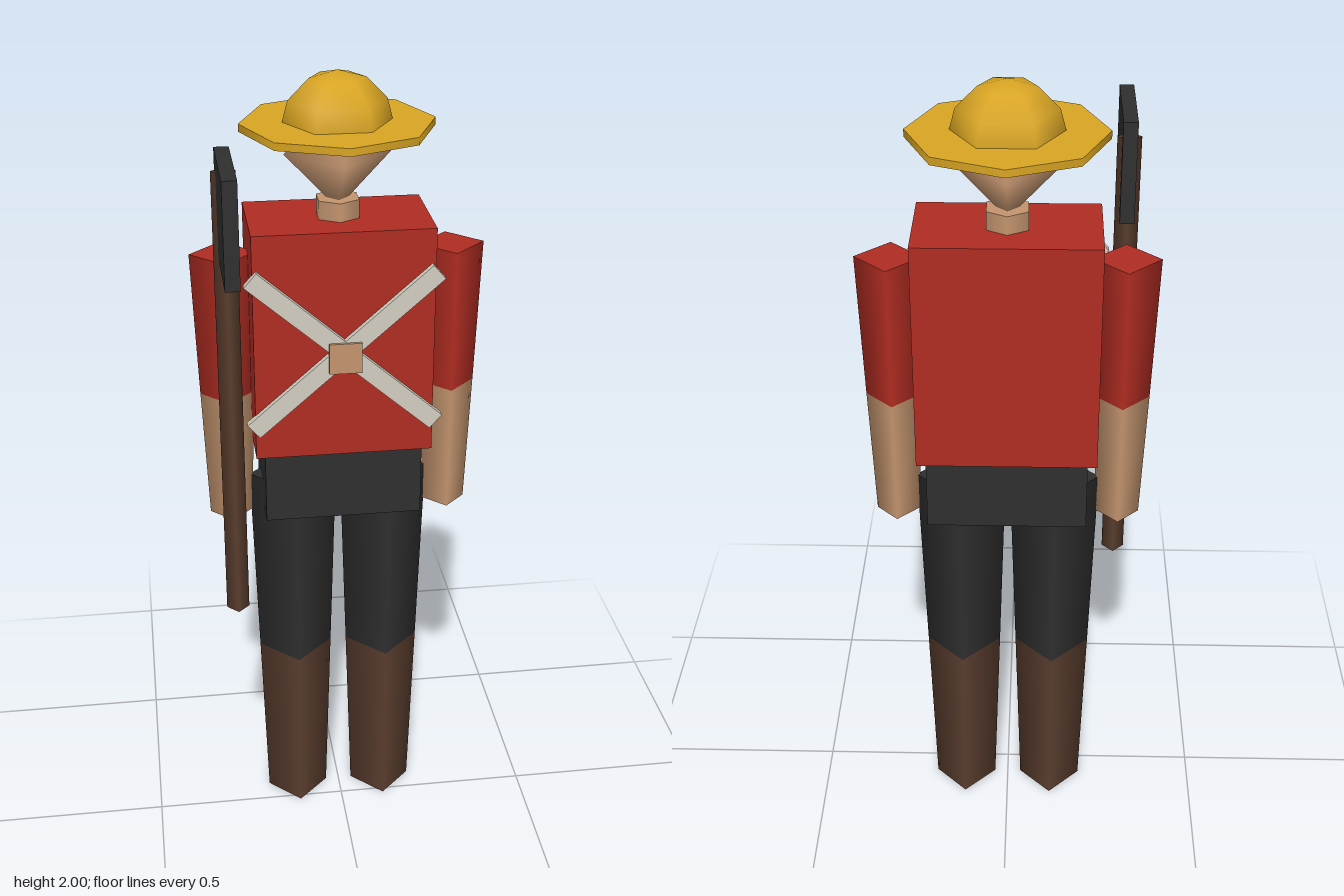
import * as THREE from 'three';

const BODY_Z = -0.063;

function material(name, color) {
  const m = new THREE.MeshStandardMaterial({ color });
  m.name = name;
  return m;
}

export function createModel() {
  const model = new THREE.Group();
  model.name = 'axeman';

  const red = material('red cloth', 0xb02c22);
  const black = material('black cloth', 0x2f2f2f);
  const brown = material('brown leather', 0x5a3d2e);
  const skin = material('skin', 0xc4956f);
  const gold = material('straw gold', 0xd9a522);
  const white = material('strap white', 0xd2cdc0);

  function add(name, geometry, mat, x, y, z) {
    const mesh = new THREE.Mesh(geometry, mat);
    mesh.name = name;
    mesh.position.set(x, y, z);
    model.add(mesh);
    return mesh;
  }

  // Tapered post between two heights
  function post(name, mat, x, z, y0, y1, r0, r1, sides = 4) {
    return add(name, new THREE.CylinderGeometry(r1, r0, y1 - y0, sides), mat, x, (y0 + y1) / 2, z);
  }

  function box(name, mat, w, h, d, x, y, z) {
    return add(name, new THREE.BoxGeometry(w, h, d), mat, x, y, z);
  }

  // Torso and hips
  box('torso', red, 0.43, 0.565, 0.25, 0, 1.378, BODY_Z - 0.001);
  box('hips', black, 0.386, 0.18, 0.224, 0, 1.005, BODY_Z);

  // Limbs, four-sided with a corner facing forward
  for (const [side, s] of [['left', 1], ['right', -1]]) {
    post(side + 'Boot', brown, s * 0.115, BODY_Z, 0, 0.475, 0.08, 0.0945);
    post(side + 'TrouserLeg', black, s * 0.115, BODY_Z, 0.475, 0.99, 0.0945, 0.11);
    post(side + 'Forearm', skin, s * 0.273, BODY_Z, 0.89, 1.22, 0.053, 0.066);
    post(side + 'Sleeve', red, s * 0.273, BODY_Z, 1.22, 1.58, 0.066, 0.079);
  }

  // Crossed straps and buckle
  for (const s of [1, -1]) {
    const strap = box('chestStrap', white, 0.585, 0.045, 0.02, 0, 1.368, 0.067);
    strap.rotation.z = s * 0.716;
  }
  box('strapBuckle', skin, 0.078, 0.076, 0.02, 0, 1.357, 0.074);

  // Neck and head
  post('neck', skin, 0, BODY_Z, 1.64, 1.705, 0.055, 0.055, 6);
  const head = add('head', new THREE.SphereGeometry(0.125, 4, 2), skin, 0, 1.81, BODY_Z);
  head.scale.y = 1.06;

  // Hat
  post('hatBrim', gold, 0, BODY_Z, 1.867, 1.885, 0.227, 0.227, 8);
  add('hatCrown', new THREE.SphereGeometry(0.132, 6, 3, 0, Math.PI * 2, 0, Math.PI / 2), gold, 0, 1.868, BODY_Z);

  // Axe
  post('axeHandle', brown, -0.273, 0.073, 0.685, 1.82, 0.028, 0.028);
  box('axeBlade', black, 0.034, 0.245, 0.25, -0.273, 1.742, 0.165);

  return model;
}
